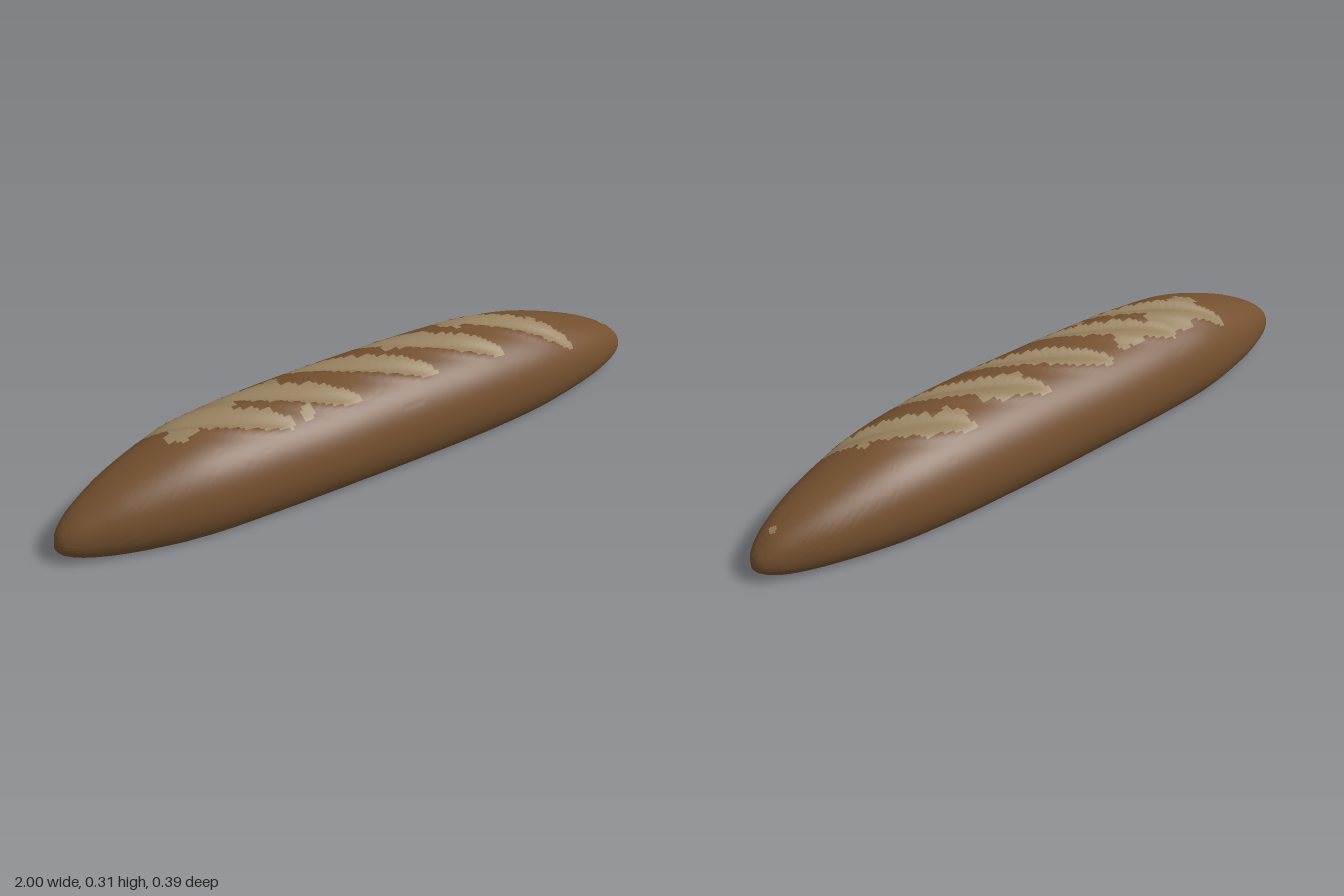
import * as THREE from 'three';
import { toCreasedNormals } from 'three/addons/utils/BufferGeometryUtils.js';

const NX = 320, NT = 96;

// Stations along the loaf: x, half width, top height
const stations = new THREE.CatmullRomCurve3([
  [-1, 0, 0.06], [-0.985, 0.03, 0.095], [-0.95, 0.058, 0.13], [-0.9, 0.083, 0.163], [-0.8, 0.122, 0.212],
  [-0.6, 0.169, 0.276], [-0.4, 0.187, 0.295], [-0.2, 0.195, 0.301], [0, 0.194, 0.305], [0.2, 0.193, 0.304],
  [0.4, 0.187, 0.296], [0.6, 0.167, 0.268], [0.8, 0.122, 0.205], [0.9, 0.083, 0.16], [0.95, 0.058, 0.128],
  [0.985, 0.03, 0.092], [1, 0, 0.06],
].map(p => new THREE.Vector3(...p)), false, 'centripetal');

// Diagonal cuts (centre x) and torn crumb patches (x, z, radius x, radius z)
const cuts = [-0.487, -0.273, -0.005, 0.24, 0.51];
const patches = [
  [-0.5, -0.06, 0.11, 0.055], [-0.59, -0.005, 0.05, 0.035], [-0.3, -0.075, 0.06, 0.03],
  [0.17, -0.05, 0.08, 0.045], [0.4, -0.06, 0.08, 0.035], [-0.25, 0.1, 0.022, 0.02],
  [0.61, 0.015, 0.02, 0.015], [0.925, -0.005, 0.01, 0.012],
];

// Position across a cut (-1..1 inside), and whether it is within its length
function cutCoords(x, z, cx) {
  const along = ((x - cx) * 0.85 + z * 0.53) / 0.225;
  const across = (x - cx) * 0.53 - z * 0.85;
  if (Math.abs(along) >= 1) return null;
  return across / (0.042 * Math.pow(1 - along * along, 0.55) + 0.001);
}

// Groove with a raised lip on its lower side
function relief(x, z) {
  let d = 0;
  for (const cx of cuts) {
    const v = cutCoords(x, z, cx);
    if (v === null || Math.abs(v) > 1.7) continue;
    const ends = 1 - Math.pow(((x - cx) * 0.85 + z * 0.53) / 0.225, 2);
    d += ends * (0.005 * Math.exp(-Math.pow((Math.abs(v) - 1.1) / 0.35, 2))
      - 0.012 * Math.exp(-Math.pow((v + 0.3) / 0.5, 2)));
  }
  return d;
}

function isCrumb(x, z) {
  const rough = 0.08 * Math.sin(x * 95 + z * 60) + 0.06 * Math.sin(x * 50 - z * 140);
  for (const cx of cuts) {
    const v = cutCoords(x, z, cx);
    if (v !== null && Math.abs(v) < 1 + rough) return true;
  }
  return patches.some(([px, pz, rx, rz]) => Math.hypot((x - px) / rx, (z - pz) / rz) < 1 + 1.5 * rough);
}

// Rounded cross-sections with a flattened underside
function loafGeometry() {
  const pos = [];
  for (let i = 0; i <= NX; i++) {
    const s = stations.getPoint(i / NX);
    const w = Math.max(s.y, 0);
    const cy = 0.055 + 0.07 * Math.pow(w / 0.195, 1.3);
    const ry = w > 0 ? Math.max(s.z - cy, 0) : 0;
    for (let j = 0; j < NT; j++) {
      const a = j / NT * Math.PI * 2, c = Math.cos(a), n = Math.sin(a);
      const e = c > 0 ? 0.92 : 1;
      const z = w * Math.sign(n) * Math.pow(Math.abs(n), e) - 0.003 * w / 0.195;
      let y = cy + ry * Math.sign(c) * Math.pow(Math.abs(c), e);
      if (c > 0.2) y += relief(s.x, z);
      pos.push(s.x, Math.max(y, 0), z);
    }
  }
  // Faces sorted into crust and crumb
  const crust = [], crumb = [];
  for (let i = 0; i < NX; i++) {
    for (let j = 0; j < NT; j++) {
      const k = (j + 1) % NT;
      const a = i * NT + j, b = i * NT + k, c = a + NT, d = b + NT;
      const mx = (pos[a * 3] + pos[d * 3]) / 2, mz = (pos[a * 3 + 2] + pos[d * 3 + 2]) / 2;
      const upper = Math.cos((j + 0.5) / NT * Math.PI * 2) > 0.2;
      const list = upper && isCrumb(mx, mz) ? crumb : crust;
      if (i > 0) list.push(a, b, c);
      if (i < NX - 1) list.push(b, d, c);
      if (i === 0) list.push(a, d, c);
      if (i === NX - 1) list.push(a, b, d);
    }
  }
  const geo = new THREE.BufferGeometry();
  geo.setAttribute('position', new THREE.Float32BufferAttribute(pos, 3));
  geo.setIndex(crust.concat(crumb));
  geo.addGroup(0, crust.length, 0);
  geo.addGroup(crust.length, crumb.length, 1);
  const out = toCreasedNormals(geo, 0.6);
  out.clearGroups();
  out.addGroup(0, crust.length, 0);
  out.addGroup(crust.length, crumb.length, 1);
  return out;
}

export function createModel() {
  const crustBrown = new THREE.MeshStandardMaterial({ color: 0x74502f });
  crustBrown.name = 'crust brown';
  const crumbTan = new THREE.MeshStandardMaterial({ color: 0x988260 });
  crumbTan.name = 'crumb tan';

  const group = new THREE.Group();
  group.name = 'breadLoaf';
  const loaf = new THREE.Mesh(loafGeometry(), [crustBrown, crumbTan]);
  loaf.name = 'loaf';
  group.add(loaf);
  return group;
}
